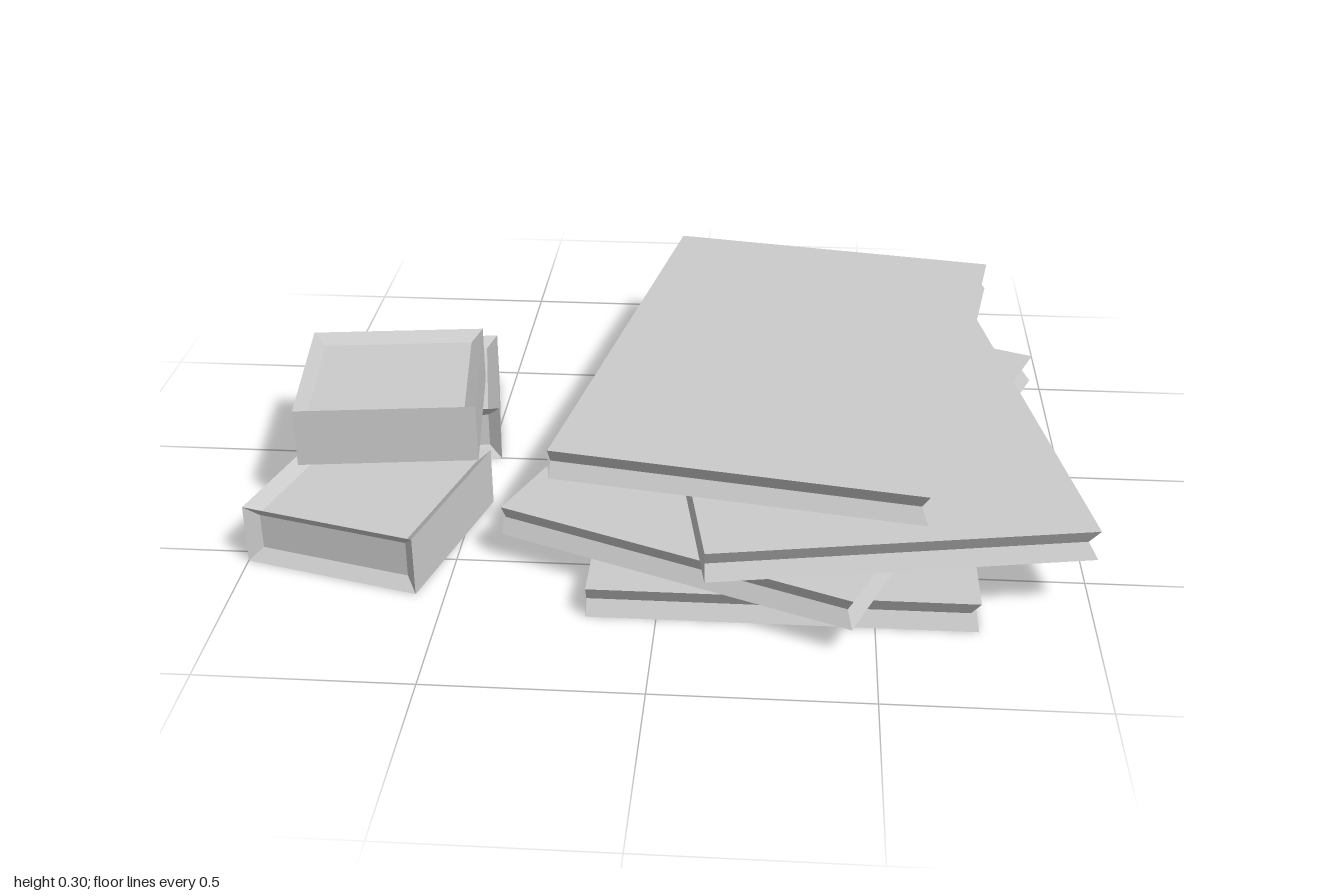
import * as THREE from 'three';

const material = new THREE.MeshStandardMaterial({ color: 0xcccccc, flatShading: true, side: THREE.DoubleSide });

// Flat-shaded geometry from quads, corners counter-clockwise from outside
function fromQuads(quads) {
  const points = quads.flatMap(([a, b, c, d]) => [a, b, c, a, c, d]);
  const geometry = new THREE.BufferGeometry().setFromPoints(points);
  geometry.computeVertexNormals();
  return geometry;
}

// Quads joining two rings of four corners
function band(lower, upper) {
  return lower.map((p, i) => {
    const j = (i + 1) % 4;
    return [p, lower[j], upper[j], upper[i]];
  });
}

// Closed book: flat spine at -x, V-shaped page edges on the other three sides
function bookGeometry(w, h, d, groove) {
  const ring = (y, g) => [
    new THREE.Vector3(-w / 2, y, d / 2 - g),
    new THREE.Vector3(w / 2 - g, y, d / 2 - g),
    new THREE.Vector3(w / 2 - g, y, -d / 2 + g),
    new THREE.Vector3(-w / 2, y, -d / 2 + g),
  ];
  const bottom = ring(0, 0), middle = ring(h / 2, groove), top = ring(h, 0);
  const pages = [...band(bottom, middle).slice(0, 3), ...band(middle, top).slice(0, 3)];
  const spine = [bottom[3], bottom[0], top[0], top[3]];
  return fromQuads([...pages, spine, top, [...bottom].reverse()]);
}

// Box whose top and front (+z) faces are sunk behind sloped borders
function recessedBoxGeometry(w, h, d, inset, depth) {
  const quads = [];
  const face = (normal, right, up, size, recessed) => {
    const corners = (trim, sink) => [[-1, -1], [1, -1], [1, 1], [-1, 1]].map(([u, v]) =>
      new THREE.Vector3(0, h / 2, 0)
        .addScaledVector(normal, size[2] / 2 - sink)
        .addScaledVector(right, u * (size[0] / 2 - trim))
        .addScaledVector(up, v * (size[1] / 2 - trim)));
    const rim = corners(0, 0);
    if (!recessed) return quads.push(rim);
    const floor = corners(inset, depth);
    quads.push(...band(rim, floor), floor);
  };
  const X = new THREE.Vector3(1, 0, 0), Y = new THREE.Vector3(0, 1, 0), Z = new THREE.Vector3(0, 0, 1);
  const neg = (v) => v.clone().negate();
  face(Z, X, Y, [w, h, d], true);
  face(Y, X, neg(Z), [w, d, h], true);
  face(neg(Z), neg(X), Y, [w, h, d], false);
  face(neg(Y), X, Z, [w, d, h], false);
  face(X, neg(Z), Y, [d, h, w], false);
  face(neg(X), Z, Y, [d, h, w], false);
  return fromQuads(quads);
}

export function createModel() {
  const model = new THREE.Group();

  const place = (parent, geometry, name, [x, y, z, degrees]) => {
    const mesh = new THREE.Mesh(geometry, material);
    mesh.name = name;
    mesh.position.set(x, y, z);
    mesh.rotation.y = THREE.MathUtils.degToRad(degrees);
    parent.add(mesh);
  };

  // Untidy stack of large books: x, y, z, turn
  const books = new THREE.Group();
  books.name = 'bookStack';
  const book = bookGeometry(0.897, 0.075, 1.347, 0.02);
  [
    [0.287, 0, 0.045, 0],
    [0.285, 0.075, 0.045, -22.4],
    [0.44, 0.15, 0.045, 9.9],
    [0.285, 0.225, -0.105, -9.9],
  ].forEach((p, i) => place(books, book, `book${i + 1}`, p));

  // Small boxes: two on the ground, one across them
  const boxes = new THREE.Group();
  boxes.name = 'boxStack';
  const box = recessedBoxGeometry(0.445, 0.15, 0.445, 0.03, 0.025);
  place(boxes, box, 'backBox', [-0.725, 0, -0.18, 9.8]);
  place(boxes, box, 'frontBox', [-0.727, 0, 0.382, -15]);
  place(boxes, box, 'topBox', [-0.725, 0.15, 0.083, -82.9]);

  model.add(books, boxes);
  return model;
}
